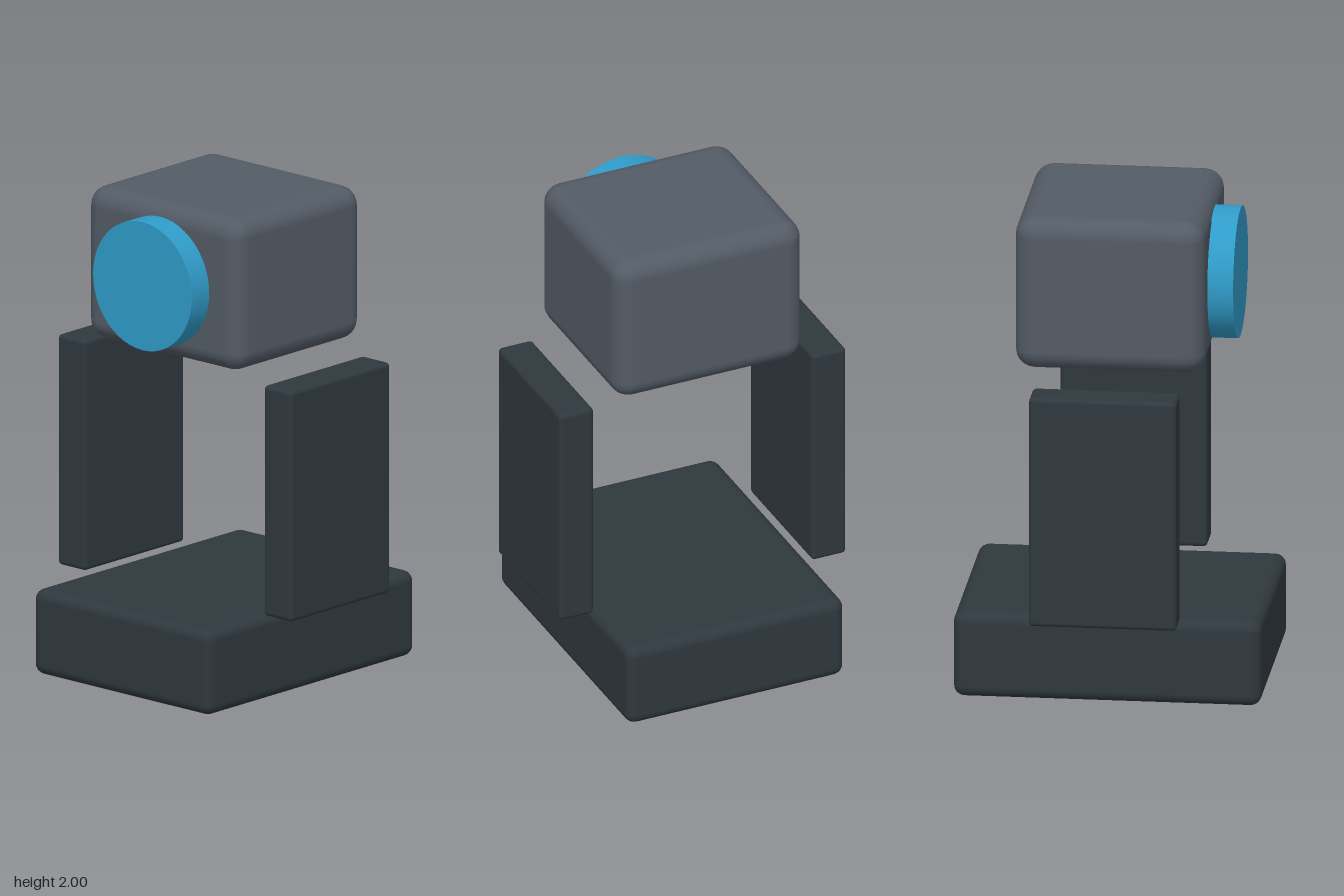
import * as THREE from 'three';
import { RoundedBoxGeometry } from 'three/addons/geometries/RoundedBoxGeometry.js';

const material = (name, color) => {
  const m = new THREE.MeshStandardMaterial({ color });
  m.name = name;
  return m;
};

export function createModel() {
  const model = new THREE.Group();
  const charcoal = material('charcoal', 0x2f383e);
  const slate = material('slate grey', 0x535b65);
  const blue = material('lens blue', 0x309bc8);

  const add = (name, geometry, mat, x, y, z) => {
    const mesh = new THREE.Mesh(geometry, mat);
    mesh.name = name;
    mesh.position.set(x, y, z);
    model.add(mesh);
    return mesh;
  };
  const block = (w, h, d, radius) => new RoundedBoxGeometry(w, h, d, 3, radius);

  // Base slab
  add('base', block(0.96, 0.355, 1.24, 0.045), charcoal, 0, 0.1815, 0);

  // Upright side arms
  for (const [name, side] of [['leftArm', 1], ['rightArm', -1]]) {
    add(name, block(0.152, 0.96, 0.594, 0.018), charcoal, side * 0.557, 0.842, 0);
  }

  // Head with a round lens on the front
  add('head', block(0.832, 0.635, 0.764, 0.08), slate, 0, 1.6825, 0);
  const lens = new THREE.CylinderGeometry(0.267, 0.267, 0.106, 48).rotateX(Math.PI / 2);
  add('lens', lens, blue, 0, 1.6825, 0.433);

  return model;
}
